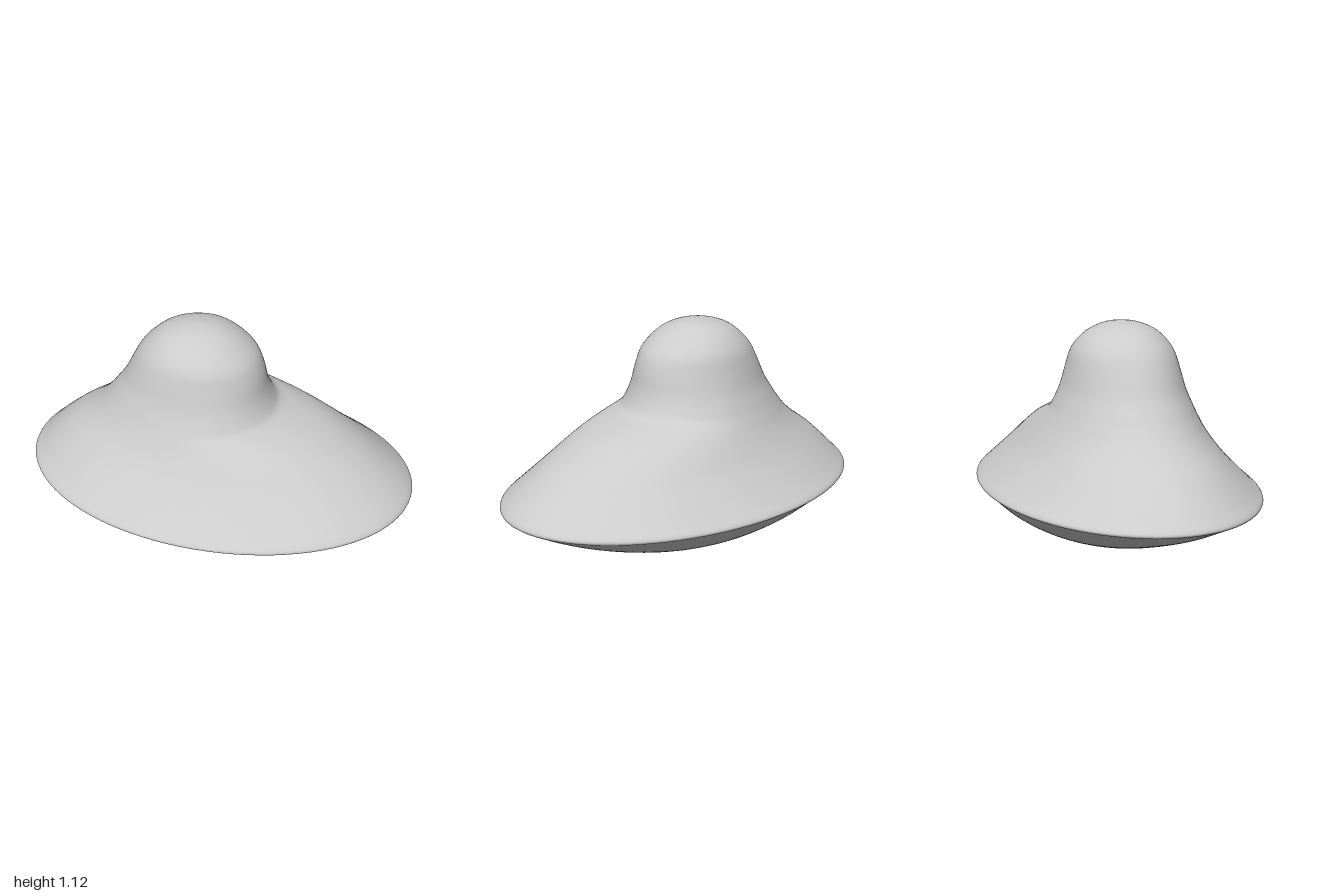
import * as THREE from 'three';

const AROUND = 96, STEPS = 5;

// Sections from bottom to top: [y, left end x, right end x, half depth, x of widest point]
const bowl = [
  [0.005, 0.08, 0.08, 0, 0.08],
  [0.012, -0.02, 0.18, 0.09, 0.07],
  [0.03, -0.22, 0.28, 0.22, 0.04],
  [0.06, -0.43, 0.43, 0.34, 0.01],
  [0.11, -0.59, 0.61, 0.45, 0],
  [0.17, -0.75, 0.77, 0.545, 0],
  [0.22, -0.86, 0.88, 0.605, 0],
  [0.27, -0.965, 0.975, 0.655, 0],
];
const shell = [
  [0.27, -0.965, 0.975, 0.655, 0],
  [0.285, -0.997, 0.997, 0.675, 0],
  [0.305, -0.995, 0.995, 0.668, 0],
  [0.34, -0.96, 0.96, 0.628, 0],
  [0.4, -0.9, 0.885, 0.565, 0],
  [0.48, -0.81, 0.775, 0.49, 0],
  [0.55, -0.71, 0.66, 0.44, 0],
  [0.61, -0.64, 0.54, 0.4, -0.02],
  [0.655, -0.6, 0.41, 0.372, -0.05],
  [0.685, -0.575, 0.315, 0.354, -0.07],
  [0.72, -0.55, 0.275, 0.337, -0.08],
  [0.8, -0.495, 0.24, 0.304, -0.09],
  [0.9, -0.445, 0.218, 0.276, -0.1],
  [0.98, -0.4, 0.185, 0.252, -0.1],
  [1.04, -0.345, 0.125, 0.212, -0.1],
  [1.085, -0.285, 0.06, 0.158, -0.1],
  [1.115, -0.2, -0.01, 0.085, -0.1],
  [1.128, -0.1, -0.1, 0, -0.1],
];

// Loft smoothly through the egg-shaped sections
function loft(name, sections) {
  const curve = (a, b, c) => new THREE.CatmullRomCurve3(
    sections.map(s => new THREE.Vector3(s[a], s[b], s[c])), false, 'catmullrom', 0.5);
  const ends = curve(0, 1, 2), widths = curve(0, 3, 4);
  const rows = (sections.length - 1) * STEPS;
  const pos = [], index = [];
  for (let i = 0; i <= rows; i++) {
    const e = ends.getPoint(i / rows), w = widths.getPoint(i / rows);
    for (let j = 0; j < AROUND; j++) {
      const a = j / AROUND * Math.PI * 2, c = Math.cos(a);
      const reach = c > 0 ? e.z - w.z : w.z - e.y;
      pos.push(w.z + c * reach, e.x, Math.sin(a) * w.y);
      if (i === rows) continue;
      const p = i * AROUND + j, q = i * AROUND + (j + 1) % AROUND;
      // Skip the collapsed triangles at the closed ends
      if (i > 0 || sections[0][3] > 0) index.push(p, p + AROUND, q);
      if (i < rows - 1 || sections.at(-1)[3] > 0) index.push(q, p + AROUND, q + AROUND);
    }
  }
  const geometry = new THREE.BufferGeometry();
  geometry.setAttribute('position', new THREE.Float32BufferAttribute(pos, 3));
  geometry.setIndex(index);
  geometry.computeVertexNormals();
  const mesh = new THREE.Mesh(geometry, new THREE.MeshStandardMaterial({ color: 0xcccccc, side: THREE.DoubleSide }));
  mesh.name = name;
  return mesh;
}

export function createModel() {
  const model = new THREE.Group();
  model.name = 'domedSaucer';
  // Shallow underside and the brim rising into an off-centre dome
  model.add(loft('underside', bowl), loft('brimAndDome', shell));
  return model;
}
